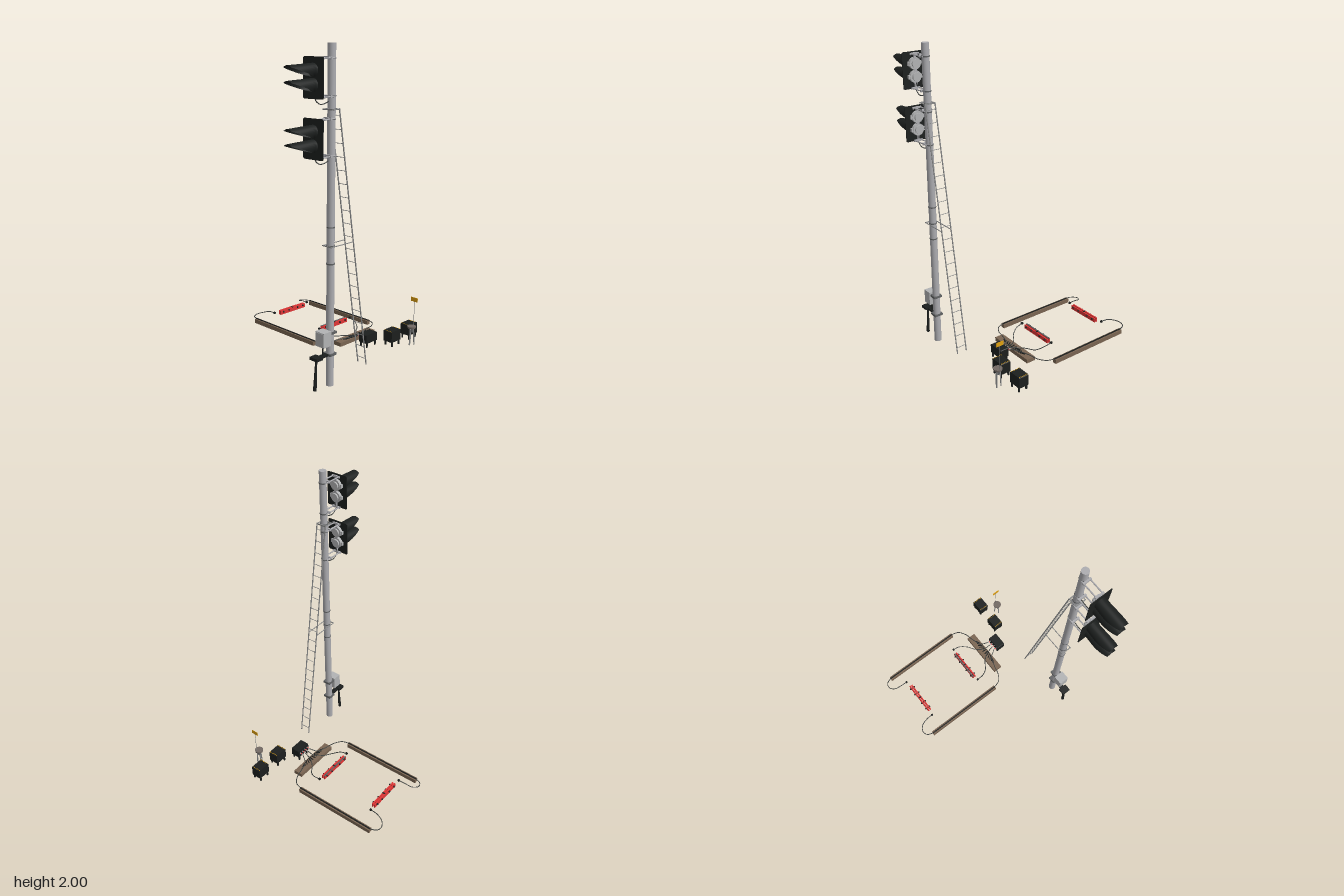
import * as THREE from 'three';

const mat = (name, color, side = THREE.FrontSide) => {
  const m = new THREE.MeshStandardMaterial({ color, side });
  m.name = name;
  return m;
};

export function createModel() {
  const root = new THREE.Group();
  root.name = 'signalSet';
  const M = {
    pole: mat('poleGrey', 0xacacb0),
    light: mat('lightGrey', 0xb2b3b4),
    ladder: mat('ladderGrey', 0x8c8d8d),
    steel: mat('darkSteel', 0x606263),
    black: mat('black', 0x1c1f1e, THREE.DoubleSide),
    cable: mat('cable', 0x434644),
    wood: mat('wood', 0x7a6552),
    red: mat('red', 0xe03636),
    yellow: mat('yellow', 0xe0a010),
    stone: mat('warmGrey', 0x726963),
  };
  const add = (parent, name, geo, material, x = 0, y = 0, z = 0) => {
    const m = new THREE.Mesh(geo, material);
    m.name = name;
    m.position.set(x, y, z);
    parent.add(m);
    return m;
  };
  const group = (name, x = 0, y = 0, z = 0, parent = root) => {
    const g = new THREE.Group();
    g.name = name;
    g.position.set(x, y, z);
    parent.add(g);
    return g;
  };
  const box = (p, name, m, w, h, d, x, y, z) => add(p, name, new THREE.BoxGeometry(w, h, d), m, x, y, z);
  const V = (a) => new THREE.Vector3(...a);
  // straight rod between two points, optionally tapered
  const rod = (p, name, m, a, b, r, r2 = r) => {
    const A = V(a), B = V(b), d = B.clone().sub(A);
    const mesh = add(p, name, new THREE.CylinderGeometry(r2, r, d.length(), 8), m);
    mesh.position.copy(A.add(B).multiplyScalar(0.5));
    mesh.quaternion.setFromUnitVectors(new THREE.Vector3(0, 1, 0), d.normalize());
    return mesh;
  };
  const tube = (p, name, pts, r = 0.003) =>
    add(p, name, new THREE.TubeGeometry(new THREE.CatmullRomCurve3(pts.map(V)), 32, r, 6), M.cable);

  // ---- pole with clamps
  const PX = 0.46, PZ = 0.268;
  const mast = group('mast', PX, 0, PZ);
  add(mast, 'pole', new THREE.CylinderGeometry(0.0235, 0.0235, 2, 24), M.pole, 0, 1, 0);
  for (const y of [0.2, 0.335, 0.753, 0.86, 0.97, 1.38, 1.586, 1.64, 1.713, 1.92]) {
    add(mast, 'clamp', new THREE.CylinderGeometry(0.0255, 0.0255, 0.007, 24), M.steel, 0, y, 0);
  }

  // ---- sun hood: a flared tube whose lower side is cut back along a slope
  const hoodGeometry = () => {
    const N = 16, K = 10, pos = [], idx = [];
    for (let k = 0; k <= K; k++) {
      const t = k / K, r = 0.038 + 0.008 * t, cy = -0.018 * t;
      const low = THREE.MathUtils.lerp(-0.038, 0.016, t);
      const a = Math.acos(THREE.MathUtils.clamp((low - cy) / r, -1, 1));
      for (let i = 0; i <= N; i++) {
        const q = a * (2 * i / N - 1);
        pos.push(r * Math.sin(q), cy + r * Math.cos(q), 0.19 * t);
        if (k < K && i < N) {
          const s = k * (N + 1) + i, u = s + N + 1;
          idx.push(s, u, s + 1, s + 1, u, u + 1);
        }
      }
    }
    const g = new THREE.BufferGeometry();
    g.setAttribute('position', new THREE.Float32BufferAttribute(pos, 3));
    g.setIndex(idx);
    g.computeVertexNormals();
    return g;
  };
  const hoodGeo = hoodGeometry();

  // ---- backboard with rounded corners
  const boardShape = new THREE.Shape();
  const W = 0.077, H = 0.113, C = 0.012;
  boardShape.moveTo(-W + C, -H).lineTo(W - C, -H).quadraticCurveTo(W, -H, W, -H + C)
    .lineTo(W, H - C).quadraticCurveTo(W, H, W - C, H)
    .lineTo(-W + C, H).quadraticCurveTo(-W, H, -W, H - C)
    .lineTo(-W, -H + C).quadraticCurveTo(-W, -H, -W + C, -H);
  const boardGeo = new THREE.ExtrudeGeometry(boardShape, { depth: 0.004, bevelEnabled: false });

  const signalHead = (cy) => {
    const head = group('signalHead', PX, cy, 0.408);
    add(head, 'backboard', boardGeo, M.black);
    for (const y of [0.042, -0.038]) {
      const lamp = group('lamp', 0, y, 0, head);
      add(lamp, 'hood', hoodGeo, M.black, 0, 0, 0.003);
      const disc = (name, r, d, m, z, n = 20) => {
        add(lamp, name, new THREE.CylinderGeometry(r, r, d, n), m, 0, 0, z).rotation.x = Math.PI / 2;
      };
      disc('housing', 0.038, 0.02, M.light, -0.01);
      disc('housingCap', 0.026, 0.012, M.light, -0.025, 12);
      disc('lens', 0.027, 0.004, M.light, 0.006);
      disc('lensRing', 0.012, 0.004, M.steel, 0.0075);
      disc('lensCore', 0.008, 0.004, M.light, 0.009);
      for (let i = 0; i < 8; i++) { // dark marks around the lens
        const a = (i + 0.5) * Math.PI / 4;
        box(lamp, 'lensMark', M.steel, 0.005, 0.005, 0.002, 0.022 * Math.cos(a), 0.022 * Math.sin(a), 0.0075);
      }
      for (const s of [-1, 1]) box(lamp, 'hinge', M.light, 0.012, 0.024, 0.016, s * 0.04, 0, -0.008);
    }
    box(head, 'spine', M.pole, 0.016, 0.17, 0.012, 0, 0, -0.014);
    // brackets to the pole
    for (const s of [1, -1]) {
      const y = s * 0.104;
      for (const x of [-0.022, 0.022]) rod(head, 'bracketArm', M.pole, [x, y - 0.004, -0.012], [x, y, -0.15], 0.0045);
      box(head, 'bracketBar', M.pole, 0.06, 0.012, 0.01, 0, y - 0.004, -0.012);
      box(head, 'bracketDrop', M.pole, 0.012, 0.045, 0.01, 0, s * 0.085, -0.012);
      box(head, 'bracketClamp', M.pole, 0.058, 0.016, 0.012, 0, y, -0.112);
    }
    // feed cable
    tube(head, 'feedCable', [[0, -0.07, -0.025], [0, -0.115, -0.012], [0, -0.142, -0.045], [0, -0.143, -0.08], [0, -0.13, -0.12]]);
  };
  [1.815, 1.485].forEach(signalHead);

  // ---- ladder leaning on the pole
  const ladder = group('ladder', PX);
  const top = [1.645, 0.24], foot = [0.05, -0.022];
  for (const x of [-0.034, 0.034]) {
    rod(ladder, 'ladderRail', M.ladder, [x, foot[0], foot[1]], [x, top[0], top[1]], 0.004);
    rod(ladder, 'ladderHook', M.ladder, [x, 1.64, 0.237], [x, 1.64, 0.29], 0.0035);
    rod(ladder, 'ladderStay', M.ladder, [x, 0.86, 0.112], [x, 0.86, 0.3], 0.003);
  }
  for (let i = 0; i < 20; i++) {
    const t = (i + 0.5) / 20;
    const y = THREE.MathUtils.lerp(foot[0], top[0], t), z = THREE.MathUtils.lerp(foot[1], top[1], t);
    rod(ladder, 'rung', M.ladder, [-0.034, y, z], [0.034, y, z], 0.002);
  }
  for (const z of [0.24, 0.298]) box(ladder, 'hookBar', M.ladder, 0.074, 0.008, 0.006, 0, 1.64, z);
  box(ladder, 'stayBar', M.ladder, 0.074, 0.006, 0.006, 0, 0.86, 0.298);

  // ---- junction box and hanging post on the mast
  const fit = group('mastFittings', PX);
  box(fit, 'junctionBox', M.light, 0.07, 0.09, 0.062, 0, 0.31, 0.325);
  box(fit, 'junctionBoxDoor', M.light, 0.062, 0.08, 0.004, 0, 0.31, 0.357);
  for (const y of [0.2, 0.335]) box(fit, 'boxClamp', M.steel, 0.058, 0.014, 0.054, 0, y, 0.268);
  rod(fit, 'boxConduit', M.black, [0, 0.2, 0.328], [0, 0.27, 0.328], 0.005);
  box(fit, 'shelf', M.black, 0.03, 0.012, 0.1, 0, 0.2, 0.34);
  box(fit, 'shelfHead', M.black, 0.06, 0.018, 0.05, 0, 0.203, 0.383);
  rod(fit, 'taperedPost', M.black, [0, 0.004, 0.394], [0, 0.2, 0.382], 0.011, 0.006);

  // ---- ground loop: everything here mirrors about z = ZC
  const ZC = -0.241;
  const loop = group('groundLoop');
  for (const s of [-1, 1]) {
    const z = (d) => ZC + s * d;
    box(loop, 'sideBeam', M.wood, 0.58, 0.028, 0.027, -0.198, 0.084, z(0.267));
    box(loop, 'beamCable', M.black, 0.58, 0.005, 0.008, -0.198, 0.1, z(0.267));
    tube(loop, 'loopCable', [[-0.488, 0.1, z(0.267)], [-0.528, 0.1, z(0.25)], [-0.54, 0.105, z(0.215)],
      [-0.515, 0.115, z(0.178)], [-0.465, 0.13, z(0.163)], [-0.415, 0.132, z(0.16)]]);
    tube(loop, 'outerCable', [[0.092, 0.1, z(0.267)], [0.14, 0.1, z(0.25)], [0.175, 0.1, z(0.2)],
      [0.19, 0.103, z(0.14)], [0.215, 0.104, z(0.07)], [0.265, 0.125, z(0.036)]]);
    tube(loop, 'innerCable', [[0.02, 0.132, z(0.15)], [0.07, 0.12, z(0.145)], [0.12, 0.1, z(0.115)],
      [0.16, 0.1, z(0.06)], [0.21, 0.104, z(0.022)], [0.265, 0.125, z(0.012)]]);
    for (const [x, d] of [[-0.415, 0.16], [0.02, 0.15]]) {
      box(loop, 'cableEnd', M.black, 0.013, 0.012, 0.012, x, 0.132, z(d));
    }
    for (const d of [0.036, 0.012]) { // plugs at the control box
      rod(loop, 'plug', M.light, [0.262, 0.125, z(d)], [0.29, 0.125, z(d)], 0.0045);
      rod(loop, 'plugRing', M.red, [0.272, 0.125, z(d)], [0.279, 0.125, z(d)], 0.0052);
    }
    for (let i = 0; i < 6; i++) { // cable clips fanned out on the cross beam
      const clip = box(loop, 'cableClip', M.black, 0.034, 0.006, 0.006, 0.209, 0.099, z(0.01 + i * 0.017));
      clip.rotation.y = s * (0.15 + i * 0.2);
    }
  }
  box(loop, 'crossBeam', M.wood, 0.063, 0.026, 0.334, 0.199, 0.084, ZC);

  // red sensor bars with small black clamps
  for (const [x, inner] of [[-0.406, M.red], [0.012, M.steel]]) {
    const sensor = group('sensor', x, 0.125, ZC);
    box(sensor, 'redBar', M.red, 0.009, 0.027, 0.235, 0.008, 0, 0);
    box(sensor, 'redBar', M.red, 0.009, 0.027, 0.235, -0.007, 0, 0);
    box(sensor, 'barCap', inner, 0.009, 0.002, 0.235, -0.007, 0.0145, 0);
    for (const z of [-0.095, -0.042, 0.042, 0.095]) {
      rod(sensor, 'clampPin', M.black, [-0.019, 0.006, z], [0.019, 0.006, z], 0.0035);
      for (const e of [-0.016, 0.016]) add(sensor, 'clampKnob', new THREE.SphereGeometry(0.0065, 10, 8), M.black, e, 0.006, z);
    }
    box(sensor, 'middleStrap', M.black, 0.022, 0.004, 0.008, 0, 0.0145, 0);
  }

  // ---- equipment cases on short legs; chamfered upper edges
  const equipmentCase = (name, x, z, w, d, y0, y1, striped) => {
    const g = group(name, x, 0, z), h = y1 - y0, c = 0.004;
    const s = new THREE.Shape();
    s.moveTo(-d / 2, 0).lineTo(d / 2, 0).lineTo(d / 2, h - c).lineTo(d / 2 - c, h)
      .lineTo(-d / 2 + c, h).lineTo(-d / 2, h - c).closePath();
    const geo = new THREE.ExtrudeGeometry(s, { depth: w, bevelEnabled: false });
    geo.translate(0, 0, -w / 2).rotateY(Math.PI / 2);
    add(g, 'caseBody', geo, M.black, 0, y0, 0);
    for (const a of [-1, 1]) {
      for (const b of [-1, 1]) {
        box(g, 'caseLeg', M.black, 0.009, 0.034, 0.009, a * (w / 2 - 0.007), y0 - 0.014, b * (d / 2 - 0.012));
      }
      if (!striped) continue;
      for (let i = 0; i < 6; i++) { // slanted warning marks along both ends of the lid
        const mark = box(g, 'warningMark', M.yellow, 0.005, 0.002, 0.006, (i - 2.5) * 0.0115, y1, a * (d / 2 - 0.006));
        mark.rotation.y = 0.5;
      }
    }
  };
  equipmentCase('controlBox', 0.319, ZC, 0.063, 0.104, 0.092, 0.15, false);
  equipmentCase('nearCase', 0.409, -0.378, 0.069, 0.092, 0.085, 0.158, true);
  equipmentCase('farCase', 0.409, -0.555, 0.069, 0.09, 0.085, 0.158, true);

  // ---- round-topped stand with a flag centred on its rod
  const stand = group('flagStand', 0.5, 0, -0.465);
  add(stand, 'standTop', new THREE.CylinderGeometry(0.029, 0.027, 0.012, 20), M.stone, 0, 0.176, 0);
  add(stand, 'standNeck', new THREE.CylinderGeometry(0.014, 0.012, 0.03, 12), M.steel, 0, 0.156, 0);
  for (let i = 0; i < 3; i++) {
    const a = i * Math.PI * 2 / 3;
    rod(stand, 'standLeg', M.ladder, [0.019 * Math.sin(a), 0.055, 0.019 * Math.cos(a)],
      [0.013 * Math.sin(a), 0.172, 0.013 * Math.cos(a)], 0.004);
  }
  rod(stand, 'flagRod', M.ladder, [0, 0.17, -0.022], [0, 0.347, -0.022], 0.0016);
  box(stand, 'flag', M.yellow, 0.052, 0.028, 0.002, 0, 0.359, -0.022);

  return root;
}
